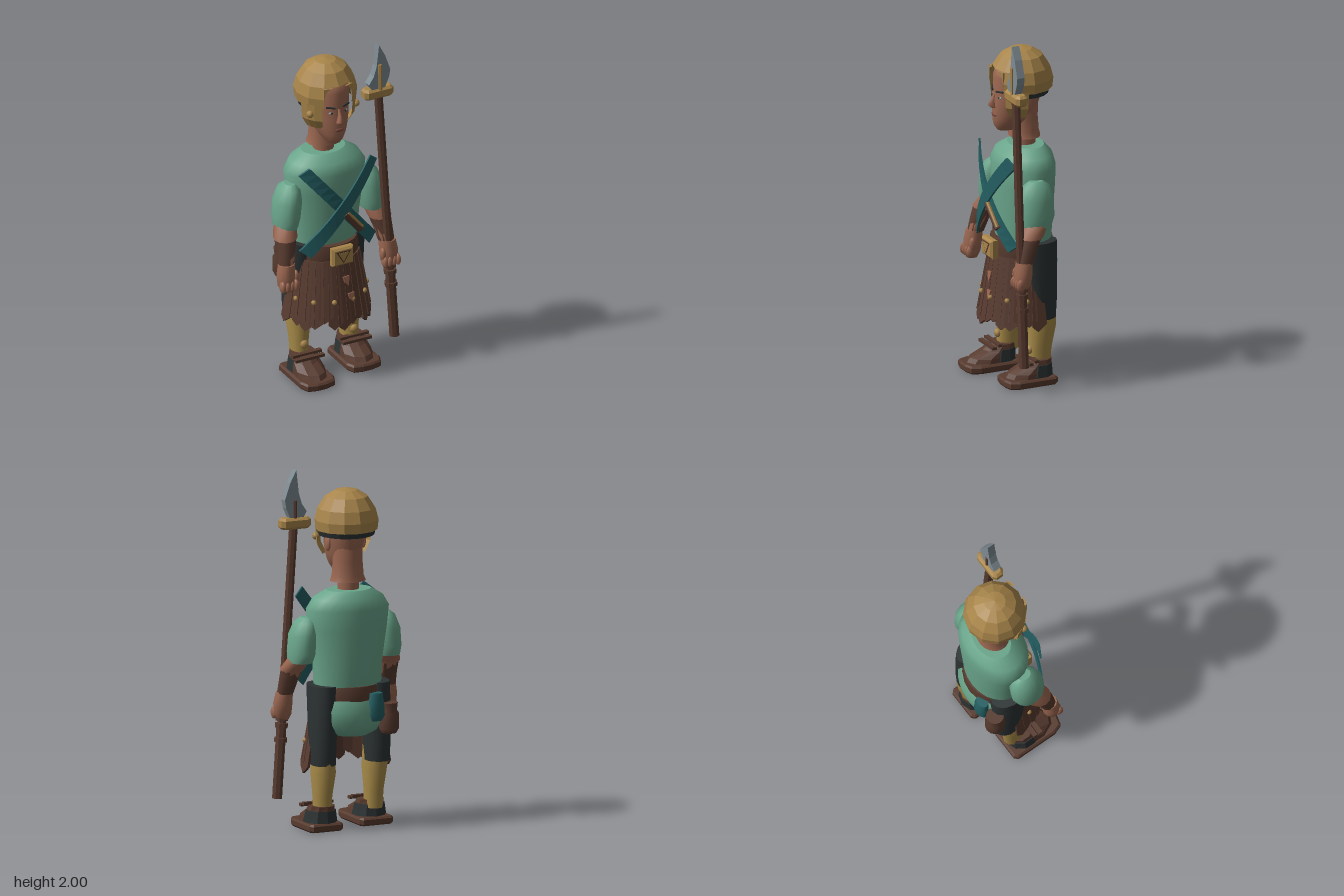
import * as THREE from 'three';

const mat = (name, color, side = THREE.FrontSide) => Object.assign(new THREE.MeshStandardMaterial({ color, side }), { name });
const M = {
  skin: mat('skin', 0x9a6650),
  lip: mat('lip', 0x7c4a3f),
  shirt: mat('shirt green', 0x6aa58b),
  teal: mat('strap teal', 0x245f63, THREE.DoubleSide),
  leather: mat('leather brown', 0x583b2f, THREE.DoubleSide),
  dark: mat('charcoal cloth', 0x2c3233, THREE.DoubleSide),
  gold: mat('brass', 0xa8854a, THREE.DoubleSide),
  ochre: mat('ochre cloth', 0xa88b48),
  steel: mat('steel', 0x7f8c93),
  eye: mat('eye grey', 0x9aa3a3),
};

// facet a geometry
function flat(g) {
  const f = g.index ? g.toNonIndexed() : g;
  f.computeVertexNormals();
  return f;
}

// closed body from horizontal elliptical rings [y, cx, cz, rx, rz], listed bottom to top
function loft(rings, n = 16) {
  const pos = [], idx = [];
  const ring = ([y, cx, cz, rx, rz]) => {
    for (let j = 0; j <= n; j++) {
      const a = (j / n) * Math.PI * 2;
      pos.push(cx + rx * Math.sin(a), y, cz + rz * Math.cos(a));
    }
  };
  rings.forEach(ring);
  const w = n + 1;
  for (let i = 0; i < rings.length - 1; i++)
    for (let j = 0; j < n; j++) {
      const a = i * w + j, b = a + w;
      idx.push(a, a + 1, b + 1, a, b + 1, b);
    }
  for (const [r, top] of [[rings[0], false], [rings[rings.length - 1], true]]) {
    const s = pos.length / 3;
    ring(r);
    pos.push(r[1], r[0], r[2]);
    for (let j = 0; j < n; j++) top ? idx.push(s + w, s + j, s + j + 1) : idx.push(s + w, s + j + 1, s + j);
  }
  const g = new THREE.BufferGeometry();
  g.setAttribute('position', new THREE.Float32BufferAttribute(pos, 3));
  g.setIndex(idx);
  g.computeVertexNormals();
  // share normals across the seam
  const N = g.attributes.normal;
  for (let i = 0; i < rings.length; i++) {
    const a = i * w, b = a + n;
    const v = new THREE.Vector3().fromBufferAttribute(N, a).add(new THREE.Vector3().fromBufferAttribute(N, b)).normalize();
    N.setXYZ(a, v.x, v.y, v.z);
    N.setXYZ(b, v.x, v.y, v.z);
  }
  return g;
}

export function createModel() {
  const root = new THREE.Group();
  root.name = 'guard';
  const add = (name, g, m, x = 0, y = 0, z = 0) => {
    const o = new THREE.Mesh(g, m);
    o.name = name;
    o.position.set(x, y, z);
    root.add(o);
    return o;
  };
  const ball = (name, m, x, y, z, rx, ry = rx, rz = rx, n = 12) =>
    add(name, new THREE.SphereGeometry(1, n, Math.max(6, n / 2)).scale(rx, ry, rz), m, x, y, z);
  const box = (name, m, w, h, d, x, y, z) => add(name, new THREE.BoxGeometry(w, h, d), m, x, y, z);
  const rod = (name, m, a, b, r, n = 8) => {
    const A = new THREE.Vector3(...a), B = new THREE.Vector3(...b), d = B.clone().sub(A);
    const o = add(name, flat(new THREE.CylinderGeometry(r, r, d.length(), n)), m);
    o.position.copy(A).add(B).multiplyScalar(0.5);
    o.quaternion.setFromUnitVectors(new THREE.Vector3(0, 1, 0), d.normalize());
    return o;
  };
  // flat outline with thickness; the bevel stays inside the outline and depth
  const plate = (pts, depth, bevel = 0) =>
    new THREE.ExtrudeGeometry(new THREE.Shape(pts.map(p => new THREE.Vector2(...p))), {
      depth: depth - 2 * bevel, bevelEnabled: bevel > 0, bevelThickness: bevel, bevelSize: bevel, bevelOffset: -bevel, bevelSegments: 1,
    }).translate(0, 0, bevel);
  const lathe = (pts, seg, start, len) =>
    flat(new THREE.LatheGeometry(pts.map(p => new THREE.Vector2(...p)), seg, start, len));

  // torso and neck
  add('shirt', loft([[0.8, 0, -0.05, 0.195, 0.145], [0.95, 0, -0.05, 0.202, 0.155], [1.13, 0, -0.05, 0.23, 0.163],
    [1.24, 0, -0.05, 0.242, 0.163], [1.3, 0, -0.055, 0.205, 0.145], [1.345, 0, -0.065, 0.13, 0.095]], 24), M.shirt);
  add('neckStub', new THREE.CylinderGeometry(0.06, 0.06, 0.1, 14), M.skin, 0, 1.37, -0.06);
  add('neck', loft([[1.39, 0, -0.057, 0.102, 0.087], [1.42, 0, -0.055, 0.09, 0.082], [1.5, 0, -0.053, 0.084, 0.078],
    [1.6, 0, -0.05, 0.085, 0.085]], 18), M.skin);

  // head
  add('head', loft([[1.44, 0, 0.045, 0.04, 0.06], [1.465, 0, 0.028, 0.06, 0.094], [1.5, 0, 0.01, 0.08, 0.12],
    [1.54, 0, 0.003, 0.093, 0.128], [1.6, 0, -0.005, 0.105, 0.137], [1.66, 0, -0.018, 0.113, 0.142],
    [1.75, 0, -0.025, 0.118, 0.148], [1.8, 0, -0.033, 0.11, 0.138], [1.86, 0, -0.04, 0.05, 0.06]], 24), M.skin);
  add('nose', loft([[1.575, 0, 0.125, 0.022, 0.022], [1.59, 0, 0.135, 0.02, 0.028], [1.62, 0, 0.128, 0.011, 0.019],
    [1.66, 0, 0.118, 0.008, 0.01]], 10), M.skin);
  ball('lips', M.lip, 0, 1.532, 0.126, 0.028, 0.011, 0.009);
  for (const s of [1, -1]) {
    ball('ear', M.skin, s * 0.108, 1.6, -0.025, 0.014, 0.045, 0.028);
    ball('eye', M.eye, s * 0.042, 1.638, 0.111, 0.018, 0.008, 0.007);
    ball('pupil', M.dark, s * 0.042, 1.638, 0.117, 0.006, 0.007, 0.004, 8);
    const brow = box('eyebrow', M.dark, 0.052, 0.009, 0.01, s * 0.046, 1.672, 0.113);
    brow.rotation.set(0, s * 0.38, s * 0.08);
  }

  // helmet: crown, side wall open over the face, brow corners, cheek guards, padding
  const P = Math.PI;
  add('helmetCrown', lathe([[0.16, 1.795], [0.118, 1.86], [0.06, 1.895], [0.001, 1.906]], 12, P / 6, 2 * P), M.gold, 0, 0, -0.04);
  add('helmetWall', lathe([[0.171, 1.675], [0.177, 1.73], [0.16, 1.795]], 10, P / 6, P * 5 / 3), M.gold, 0, 0, -0.04);
  add('helmetPadding', lathe([[0.155, 1.645], [0.165, 1.68]], 10, P * 0.45, P * 1.1), M.dark, 0, 0, -0.035);
  for (const s of [1, -1]) {
    const corner = plate([[0, 0.05], [-s * 0.05, 0.05], [-s * 0.022, 0.036], [-s * 0.008, 0.012], [0, -0.03]], 0.009);
    add('browCorner', corner, M.gold, s * 0.086, 1.745, 0.104).rotation.y = s * 0.3;
    const c = s * P * 0.31, half = P * 0.125;
    add('cheekGuard', lathe([[0.13, 1.53], [0.165, 1.59], [0.173, 1.69]], 3, c - half, half * 2), M.gold, 0, 0, -0.04);
    ball('cheekBolt', M.gold, s * 0.143, 1.63, 0.052, 0.021, 0.021, 0.021, 8);
  }

  // arms
  for (const s of [1, -1]) {
    const limb = (name, m, rings, n) => add(name, loft(rings.map(([y, x, ...r]) => [y, x * s, ...r]), n), m);
    limb('sleeve', M.shirt, [[0.945, 0.267, -0.005, 0.065, 0.085], [1.0, 0.262, -0.01, 0.075, 0.1], [1.1, 0.252, -0.012, 0.077, 0.1],
      [1.17, 0.24, -0.015, 0.06, 0.08], [1.197, 0.235, -0.015, 0.03, 0.04]], 14);
    limb('forearm', M.skin, [[0.72, 0.315, 0.1, 0.035, 0.04], [0.8, 0.303, 0.08, 0.045, 0.045], [0.885, 0.294, 0.045, 0.056, 0.056],
      [0.9, 0.293, 0.042, 0.068, 0.068], [0.965, 0.272, 0, 0.06, 0.07]], 12);
    limb('bracer', M.leather, [[0.755, 0.313, 0.088, 0.046, 0.046], [0.83, 0.303, 0.068, 0.053, 0.053], [0.893, 0.294, 0.046, 0.062, 0.06]], 10);
    limb('hand', M.skin, [[0.605, 0.315, 0.11, 0.03, 0.03], [0.64, 0.32, 0.106, 0.05, 0.046], [0.7, 0.32, 0.102, 0.054, 0.05],
      [0.765, 0.314, 0.094, 0.047, 0.047]], 12);
    for (let i = 0; i < 4; i++) ball('finger', M.skin, s * (0.278 + i * 0.027), 0.645, 0.135, 0.016, 0.036, 0.026, 8);
    ball('thumb', M.skin, s * 0.272, 0.69, 0.125, 0.017, 0.04, 0.022, 8);
  }

  // legs and shoes, right foot a little ahead
  for (const s of [1, -1]) {
    const dz = s > 0 ? -0.015 : 0.02, x = s * 0.165;
    add('trouserLeg', loft([[0.375, x, -0.085, 0.068, 0.08], [0.5, x, -0.078, 0.073, 0.095], [0.7, s * 0.16, -0.068, 0.08, 0.108],
      [0.82, s * 0.16, -0.06, 0.077, 0.115]], 14), M.dark);
    add('legging', loft([[0.1, x, -0.055 + dz, 0.05, 0.062], [0.2, x, -0.06 + dz, 0.052, 0.066], [0.33, x, -0.07 + dz, 0.067, 0.082],
      [0.45, x, -0.07 + dz, 0.06, 0.08]], 12), M.ochre);
    ball('leggingStud', M.gold, x, 0.195, 0.005 + dz, 0.025, 0.025, 0.02, 8);
    const shoeZ = s > 0 ? 0.005 : 0.07, len = s > 0 ? 0.9 : 1;
    const sole = plate([[-0.085, -0.165], [0.085, -0.165], [0.103, -0.145], [0.105, 0.1], [0.085, 0.155], [0.03, 0.17], [-0.03, 0.17],
      [-0.085, 0.155], [-0.105, 0.1], [-0.103, -0.145]], 0.045, 0.01);
    add('sole', sole.rotateX(P / 2).scale(1, 1, len), M.leather, x, 0.05, shoeZ);
    add('shoe', flat(loft([[0.04, x, shoeZ, 0.092, 0.15 * len], [0.075, x, shoeZ - 0.01, 0.088, 0.135 * len],
      [0.11, x, shoeZ - 0.05, 0.08, 0.095], [0.145, x, shoeZ - 0.07, 0.072, 0.075]], 10)), M.leather);
    add('shoeSidePatch', flat(loft([[0.052, x, shoeZ - 0.052, 0.095, 0.098], [0.118, x, shoeZ - 0.06, 0.083, 0.085]], 10)), M.dark);
    for (const k of [0, 1]) box('shoeStrap', M.leather, 0.18, 0.016, 0.026, x, 0.15 - k * 0.012, shoeZ - 0.02 + k * 0.035);
  }

  // belt, buckle, shirt tail
  add('belt', loft([[0.71, 0, -0.04, 0.185, 0.17], [0.765, 0, -0.04, 0.188, 0.176], [0.815, 0, -0.04, 0.18, 0.168]], 20), M.leather);
  add('shirtTail', loft([[0.535, 0, -0.11, 0.09, 0.07], [0.56, 0, -0.1, 0.15, 0.11], [0.61, 0, -0.095, 0.19, 0.132],
    [0.68, 0, -0.095, 0.2, 0.135], [0.74, 0, -0.08, 0.19, 0.13]], 20), M.shirt);
  add('buckle', plate([[-0.065, -0.053], [0.065, -0.053], [0.065, 0.053], [-0.065, 0.053]], 0.05, 0.012), M.gold, 0, 0.765, 0.125);
  add('buckleTriangle', plate([[-0.045, 0.035], [0, -0.04], [0.045, 0.035]], 0.004), M.leather, 0, 0.765, 0.173);
  add('buckleTriangleInset', plate([[-0.033, 0.028], [0, -0.027], [0.033, 0.028]], 0.004), M.gold, 0, 0.765, 0.175);

  // strip skirt with studs and torn holes
  const strips = 15;
  for (let i = 0; i < strips; i++) {
    const a = (i / (strips - 1) - 0.5) * P * 0.98, h = 0.355 + 0.055 * Math.abs(Math.sin(i * 2.3 + 1));
    const strip = plate([[-0.028, 0], [-0.042, -h * 0.93], [-0.01, -h], [0.042, -h * 0.9], [0.028, 0]], 0.014);
    const o = add('skirtStrip', strip, M.leather, 0.178 * Math.sin(a), 0.725, -0.04 + 0.165 * Math.cos(a));
    o.rotation.set(-0.17, a, 0, 'YXZ');
  }
  for (let k = 0; k < 6; k++) {
    const a = (k - 2.5) * 0.5;
    ball('skirtStud', M.gold, 0.232 * Math.sin(a), 0.495, -0.04 + 0.222 * Math.cos(a), 0.015, 0.015, 0.015, 8);
  }
  for (const [x, y, z] of [[0.022, 0.61, 0.161], [0.045, 0.51, 0.176]])
    add('skirtTear', plate([[-0.02, 0.02], [-0.012, -0.01], [0.012, -0.035], [0.02, 0.025]], 0.008), M.skin, x, y, z).rotation.x = -0.17;

  // crossed chest straps, bowed over the chest
  for (const s of [1, -1]) {
    const g = new THREE.BoxGeometry(0.66, 0.072, 0.012, 12, 1, 1).rotateZ(s * 0.87);
    const p = g.attributes.position;
    for (let i = 0; i < p.count; i++) p.setZ(i, p.getZ(i) + (s > 0 ? 0.178 : 0.166) - 1.2 * p.getX(i) ** 2);
    add('chestStrap', flat(g), M.teal, 0, 1.06, 0);
  }
  rod('daggerSheath', M.leather, [0.01, 1.03, 0.168], [0.115, 0.905, 0.155], 0.022);
  rod('daggerTrim', M.gold, [0.025, 1.035, 0.178], [0.122, 0.92, 0.165], 0.01, 6);

  // pouches on the back of the belt
  add('flask', loft([[0.54, -0.19, -0.18, 0.042, 0.042], [0.565, -0.19, -0.18, 0.056, 0.056], [0.65, -0.19, -0.18, 0.056, 0.056],
    [0.67, -0.19, -0.18, 0.045, 0.045], [0.71, -0.19, -0.18, 0.05, 0.05]], 12), M.leather);
  add('pouch', loft([[0.62, -0.1, -0.205, 0.035, 0.025], [0.65, -0.1, -0.205, 0.052, 0.036], [0.72, -0.1, -0.205, 0.047, 0.034],
    [0.775, -0.1, -0.2, 0.04, 0.03]], 12), M.teal);

  // polearm
  const at = y => [0.35 - (y - 0.165) * 0.066, y, 0.113];
  rod('shaft', M.leather, at(0.5), at(1.74), 0.025);
  rod('shaftButt', M.leather, at(0.165), at(0.56), 0.029);
  for (const y of [0.48, 0.56, 0.6]) rod('shaftCollar', M.leather, at(y), at(y + 0.025), 0.037);
  const guard = plate([[-0.09, -0.02], [-0.07, -0.037], [0.07, -0.037], [0.09, -0.02], [0.09, 0.02], [0.07, 0.037], [-0.07, 0.037], [-0.09, 0.02]], 0.064, 0.014);
  add('crossguard', guard.rotateX(-P / 2), M.gold, 0.245, 1.67, 0.109);
  add('blade', plate([[0.2, 1.73], [0.18, 1.765], [0.21, 1.81], [0.228, 1.87], [0.243, 2.0], [0.28, 1.93], [0.313, 1.835], [0.305, 1.79],
    [0.28, 1.73]], 0.045), M.steel, 0, 0, 0.09);
  rod('bladeRib', M.gold, [0.25, 1.72, 0.135], [0.247, 1.88, 0.135], 0.012, 6);
  rod('bladeRibBack', M.leather, [0.25, 1.72, 0.093], [0.25, 1.83, 0.093], 0.012, 6);

  return root;
}
